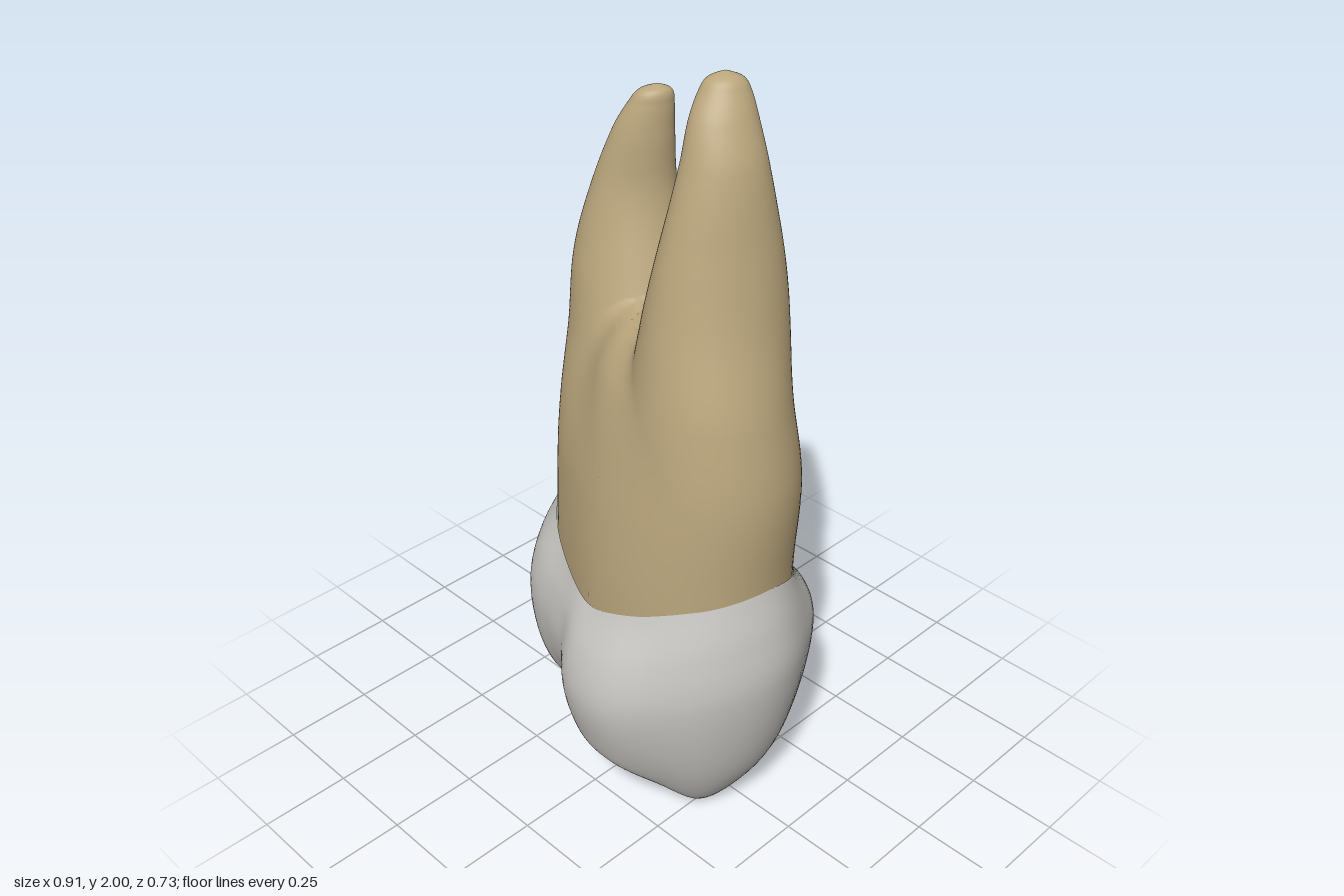
import * as THREE from 'three';

const enamel = new THREE.MeshStandardMaterial({ color: 0xc6c4c0 });
enamel.name = 'enamel';
const dentine = new THREE.MeshStandardMaterial({ color: 0xb9a57c });
dentine.name = 'dentine';

// Elliptic sections up each root: [y, centre x, centre z, radius x, radius z]
const tallRoot = [
  [0.5, 0.15, 0.002, 0.247, 0.238], [0.75, 0.157, 0.002, 0.245, 0.234], [1, 0.17, -0.008, 0.241, 0.222],
  [1.2, 0.167, -0.01, 0.21, 0.199], [1.4, 0.168, -0.023, 0.162, 0.176], [1.6, 0.177, -0.027, 0.119, 0.139],
  [1.8, 0.174, -0.036, 0.085, 0.094], [1.9, 0.156, -0.05, 0.065, 0.074], [1.96, 0.143, -0.066, 0.049, 0.053],
  [1.985, 0.14, -0.07, 0.034, 0.036], [2, 0.138, -0.071, 0.002, 0.002],
];
const shortRoot = [
  [0.5, -0.19, -0.11, 0.215, 0.23], [0.75, -0.193, -0.113, 0.21, 0.226], [1, -0.205, -0.125, 0.208, 0.21],
  [1.2, -0.22, -0.141, 0.193, 0.176], [1.4, -0.243, -0.147, 0.153, 0.138], [1.6, -0.24, -0.153, 0.097, 0.095],
  [1.75, -0.213, -0.16, 0.067, 0.068], [1.82, -0.194, -0.168, 0.048, 0.051],
  [1.853, -0.184, -0.172, 0.032, 0.036], [1.867, -0.18, -0.174, 0.002, 0.002],
];
// Web of root trunk that fills the fork
const web = [
  [0.5, 0, -0.022, 0.22, 0.243], [0.75, -0.005, -0.025, 0.215, 0.235], [1, -0.015, -0.025, 0.2, 0.202],
  [1.2, -0.022, -0.028, 0.165, 0.162], [1.3, -0.033, -0.04, 0.12, 0.115],
  [1.345, -0.04, -0.05, 0.06, 0.065], [1.36, -0.04, -0.05, 0.002, 0.002],
];
const FORK_X = -0.04, OVERLAP = 0.04;

// Smooth interpolation of a section table at height y
function section(table, y) {
  const n = table.length - 1;
  y = THREE.MathUtils.clamp(y, table[0][0], table[n][0]);
  let i = 0;
  while (i < n - 1 && y > table[i + 1][0]) i++;
  const p = table[i], q = table[i + 1], h = q[0] - p[0], t = (y - p[0]) / h;
  const slope = (k, c) => {
    const a = table[Math.max(k - 1, 0)], b = table[Math.min(k + 1, n)];
    return (b[c] - a[c]) / (b[0] - a[0]);
  };
  return [1, 2, 3, 4].map((c) => {
    const v = p[c] * (1 + 2 * t) * (1 - t) ** 2 + q[c] * t * t * (3 - 2 * t)
      + h * (slope(i, c) * t * (1 - t) ** 2 - slope(i + 1, c) * t * t * (1 - t));
    return c > 2 ? Math.max(v, 0.002) : v;
  });
}

// Signed distance to an ellipse, slanted within its box by lean
function ellipse([cx, cz, a, b], x, z, lean) {
  const u = (x - cx) / a, v = (z - cz) / b, w = 1 - lean * lean;
  const q = Math.sqrt((u * u + v * v - 2 * lean * u * v) / w);
  const g = Math.hypot((u - lean * v) / a, (v - lean * u) / b) / w;
  return g < 1e-6 ? -Math.min(a, b) : q * (q - 1) / g;
}

function blend(a, b, k) {
  const h = Math.max(k - Math.abs(a - b), 0) / k;
  return Math.min(a, b) - h * h * k / 4;
}

// Sections of both roots and the web, with a softer blend low on the trunk
const sectionsAt = (y) => ({
  tall: section(tallRoot, y), short: section(shortRoot, y), web: section(web, y),
  k: 0.16 - 0.1 * THREE.MathUtils.smoothstep(y, 0.9, 1.4),
  lean: -0.3 * THREE.MathUtils.smoothstep(y, 1.2, 1.65),
});

// Negative inside the joined roots, positive outside
function field(s, x, z) {
  const trunk = blend(ellipse(s.tall, x, z, s.lean), ellipse(s.web, x, z, 0), s.k);
  return blend(trunk, ellipse(s.short, x, z, s.lean), s.k);
}

// Distance from a point inside to the root surface along a direction
function reach(s, cx, cz, dx, dz, limit) {
  let lo = 0, hi = 0;
  while (hi < limit && field(s, cx + dx * hi, cz + dz * hi) < 0) { lo = hi; hi += 0.008; }
  if (hi >= limit && field(s, cx + dx * limit, cz + dz * limit) < 0) return limit;
  for (let k = 0; k < 14; k++) {
    const m = (lo + hi) / 2;
    if (field(s, cx + dx * m, cz + dz * m) < 0) lo = m; else hi = m;
  }
  return Math.min(lo, limit);
}

// Closed rings stacked upward: point(row, angle) gives [x, y, z]
function loft(rows, cols, point) {
  const pos = [], index = [];
  for (let i = 0; i <= rows; i++) {
    for (let j = 0; j < cols; j++) {
      pos.push(...point(i, j / cols * Math.PI * 2));
      if (i === rows) continue;
      const a = i * cols + j, b = i * cols + (j + 1) % cols;
      index.push(a, a + cols, b, b, a + cols, b + cols);
    }
  }
  const geo = new THREE.BufferGeometry();
  geo.setAttribute('position', new THREE.Float32BufferAttribute(pos, 3));
  geo.setIndex(index);
  geo.computeVertexNormals();
  return geo;
}

// One root with its half of the trunk
function rootGeometry(table, key, side) {
  const rows = 200, y0 = 0.52, tip = table[table.length - 1][0];
  let row = -1, s, y;
  const geo = loft(rows, 80, (i, angle) => {
    if (i !== row) {
      row = i;
      y = y0 + (tip - y0) * (1 - (1 - i / rows) ** 1.6);
      s = sectionsAt(y);
    }
    const [cx, cz] = s[key];
    const dx = Math.cos(angle), dz = Math.sin(angle);
    const limit = dx * side < -1e-4 ? (FORK_X - side * OVERLAP - cx) / dx : 2;
    const r = reach(s, cx, cz, dx, dz, Math.min(limit, 2));
    return [cx + dx * r, y, cz + dz * r];
  });
  // Normals from the field keep the two halves seamless
  const p = geo.attributes.position, n = geo.attributes.normal, e = 0.004;
  const v = new THREE.Vector3();
  for (let i = 0; i < p.count; i++) {
    const x = p.getX(i), py = p.getY(i), z = p.getZ(i);
    if (py > tip - 0.012) continue;
    const m = sectionsAt(py);
    v.set(field(m, x + e, z) - field(m, x - e, z),
      field(sectionsAt(py + e), x, z) - field(sectionsAt(py - e), x, z),
      field(m, x, z + e) - field(m, x, z - e)).normalize();
    n.setXYZ(i, v.x, v.y, v.z);
  }
  return geo;
}

// Smooth periodic lookup, angle from +x towards +z
function around(values, angle) {
  const n = values.length, f = angle / (Math.PI * 2) * n, i = Math.floor(f), t = f - i;
  const [a, b, c, d] = [-1, 0, 1, 2].map((k) => values[(i + k + n) % n]);
  return b + 0.5 * t * (c - a + t * (2 * a - 5 * b + 4 * c - d + t * (3 * (b - c) + d - a)));
}

const neckY = [0.755, 0.73, 0.665, 0.617, 0.627, 0.652, 0.705, 0.702, 0.69, 0.675, 0.63, 0.68];
const bulgeR = [0.455, 0.435, 0.402, 0.388, 0.345, 0.286, 0.308, 0.393, 0.447, 0.468, 0.455, 0.397, 0.36, 0.368, 0.417, 0.43];
const rimR = [0.26, 0.27, 0.28, 0.3, 0.275, 0.22, 0.235, 0.29, 0.305, 0.325, 0.315, 0.29, 0.27, 0.285, 0.32, 0.29];
const rimY = [0, 0.003, 0.09, 0.165, 0.2, 0.245, 0.23, 0.155, 0.112, 0.115, 0.14, 0.18, 0.195, 0.165, 0.12, 0.055];

// Crown: fossa, cusp rim, shoulder, bulge and neck at every angle
function crownGeometry() {
  const rows = 56, mix = THREE.MathUtils.lerp, profiles = new Map();
  const profile = (a) => {
    const yc = around(neckY, a), R = around(bulgeR, a), rr = around(rimR, a), yr = around(rimY, a);
    const rc = reach(sectionsAt(yc), 0, 0, Math.cos(a), Math.sin(a), 2);
    const pull = 0.27 + 0.1 * Math.max(0, Math.cos(a));
    const bulgeY = 0.49 - 0.08 * Math.max(0, Math.sin(a));
    return new THREE.CatmullRomCurve3([
      [0, 0.28], [rr * 0.5, mix(yr, 0.28, 0.46)], [rr * 0.93, yr + 0.01], [rr * 1.06, yr + 0.012],
      [mix(R, rr, pull), mix(0.43, yr, 0.62)], [R, bulgeY], [mix(R, rc, 0.3), mix(bulgeY, yc, 0.54)], [rc + 0.002, yc],
    ].map(([r, y]) => new THREE.Vector3(r, y, 0)));
  };
  return loft(rows, 112, (i, a) => {
    if (!profiles.has(a)) profiles.set(a, profile(a));
    const q = profiles.get(a).getPoint(i / rows);
    return [Math.cos(a) * q.x, Math.max(q.y, 0), Math.sin(a) * q.x];
  });
}

export function createModel() {
  const tooth = new THREE.Group();
  tooth.name = 'tooth';
  const add = (name, geometry, material) => {
    const mesh = new THREE.Mesh(geometry, material);
    mesh.name = name;
    tooth.add(mesh);
  };
  add('crown', crownGeometry(), enamel);
  add('tallRoot', rootGeometry(tallRoot, 'tall', 1), dentine);
  add('shortRoot', rootGeometry(shortRoot, 'short', -1), dentine);
  return tooth;
}
